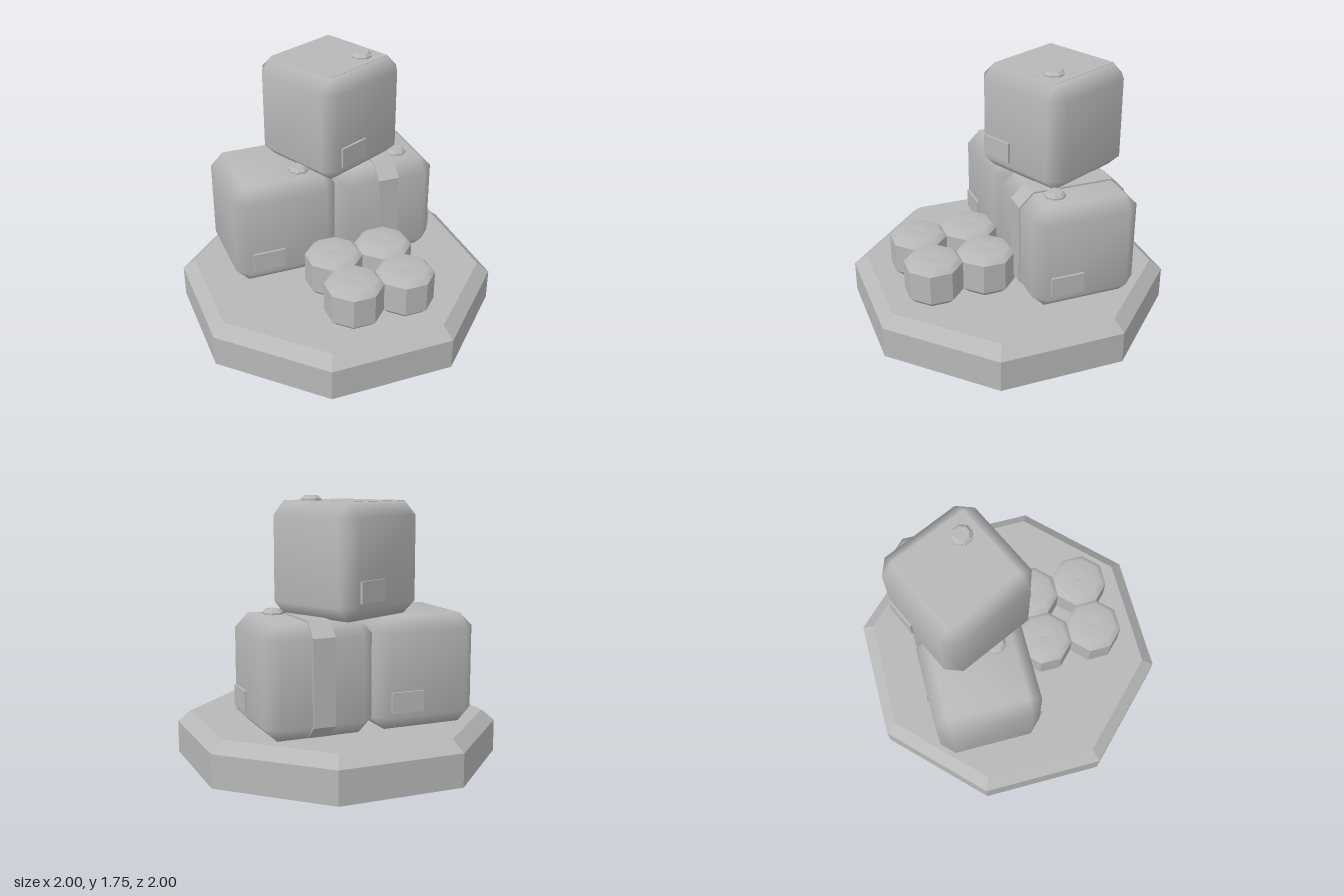
import * as THREE from 'three';
import { mergeVertices } from 'three/addons/utils/BufferGeometryUtils.js';
import { ConvexGeometry } from 'three/addons/geometries/ConvexGeometry.js';

const SIZE = 0.715, H = SIZE / 2, BEVEL = 0.088, FLOOR = 0.29;
const OCT = 1 / Math.cos(Math.PI / 8); // apothem to corner radius

const grey = new THREE.MeshStandardMaterial({ color: 0xb8b8b8 });
grey.name = 'grey';

function add(parent, name, geometry, x = 0, y = 0, z = 0) {
  const mesh = new THREE.Mesh(geometry, grey);
  mesh.name = name;
  mesh.position.set(x, y, z);
  parent.add(mesh);
  return mesh;
}

// Eight-sided solid from [apothem, height] pairs, flats facing the axes
function octagon(profile, flat = true) {
  const points = profile.map(([r, y]) => new THREE.Vector2(r * OCT, y));
  const lathe = new THREE.LatheGeometry(points, 8, Math.PI / 8);
  if (!flat) return lathe;
  const faceted = lathe.toNonIndexed();
  faceted.computeVertexNormals();
  return faceted;
}

// Cube with chamfered edges and softened normals
function softCube() {
  const points = [], k = H - BEVEL;
  for (const x of [-1, 1]) for (const y of [-1, 1]) for (const z of [-1, 1]) {
    points.push(
      new THREE.Vector3(x * H, y * k, z * k),
      new THREE.Vector3(x * k, y * H, z * k),
      new THREE.Vector3(x * k, y * k, z * H));
  }
  const hull = new ConvexGeometry(points);
  hull.deleteAttribute('normal');
  const cube = mergeVertices(hull, 1e-4);
  cube.computeVertexNormals();
  return cube;
}

// Band that wraps the cube, following its chamfers
function strapGeometry(width) {
  const o = H + 0.011, k = H - BEVEL + 0.005;
  const outline = [[k, -H], [o, -k], [o, k], [k, o], [-k, o], [-o, k], [-o, -k], [-k, -H]];
  const shape = new THREE.Shape(outline.map(([x, y]) => new THREE.Vector2(x, y)));
  const band = new THREE.ExtrudeGeometry(shape, { depth: width, bevelEnabled: false });
  band.translate(0, 0, -width / 2);
  return band.rotateY(Math.PI / 2);
}

// One block with a cap on top and labels on the sides at the given angles
function block(name, x, y, z, turn, labelAngles) {
  const group = new THREE.Group();
  group.name = name;
  group.position.set(x, y + H, z);
  group.rotation.y = turn;
  add(group, 'body', softCube());
  add(group, 'cap', octagon([[0, 0], [0.065, 0], [0.065, 0.012], [0.045, 0.032], [0, 0.032]]), 0.14, H, 0.155);
  for (const angle of labelAngles) {
    const side = new THREE.Group();
    side.name = 'labelSide';
    side.rotation.y = angle;
    add(side, 'label', new THREE.BoxGeometry(0.22, 0.135, 0.03), -0.15, -0.172, H);
    group.add(side);
  }
  return group;
}

export function createModel() {
  const model = new THREE.Group();
  model.name = 'stackedBlocks';

  // Octagonal base with a chamfered rim
  add(model, 'base', octagon([[0, 0], [1, 0], [1, 0.217], [0.92, FLOOR], [0, FLOOR]]));

  // Two lower blocks and a turned one on top
  const rightBlock = block('rightBlock', -H, FLOOR, -0.288, 0, [0, Math.PI]);
  const leftBlock = block('leftBlock', H, FLOOR, -0.288, 0, [Math.PI / 2]);
  const topBlock = block('topBlock', 0.07, FLOOR + SIZE, -0.29, 0.435, [0, Math.PI]);
  add(leftBlock, 'strap', strapGeometry(0.145));
  const lid = 2 * (H - BEVEL);
  add(topBlock, 'lid', new THREE.BoxGeometry(lid, 0.004, lid), 0, H, 0);
  model.add(rightBlock, leftBlock, topBlock);

  // Four low octagonal tins in front
  for (const x of [-0.11, 0.248]) for (const z of [0.246, 0.605]) {
    const tin = new THREE.Group();
    tin.name = 'tin';
    tin.position.set(x, FLOOR, z);
    add(tin, 'tinBody', octagon([[0, 0], [0.14, 0], [0.179, 0.04], [0.179, 0.243]]));
    add(tin, 'tinTop', octagon([[0.179, 0.243], [0.14, 0.282], [0.02, 0.28], [0, 0.272]], false));
    model.add(tin);
  }
  return model;
}
